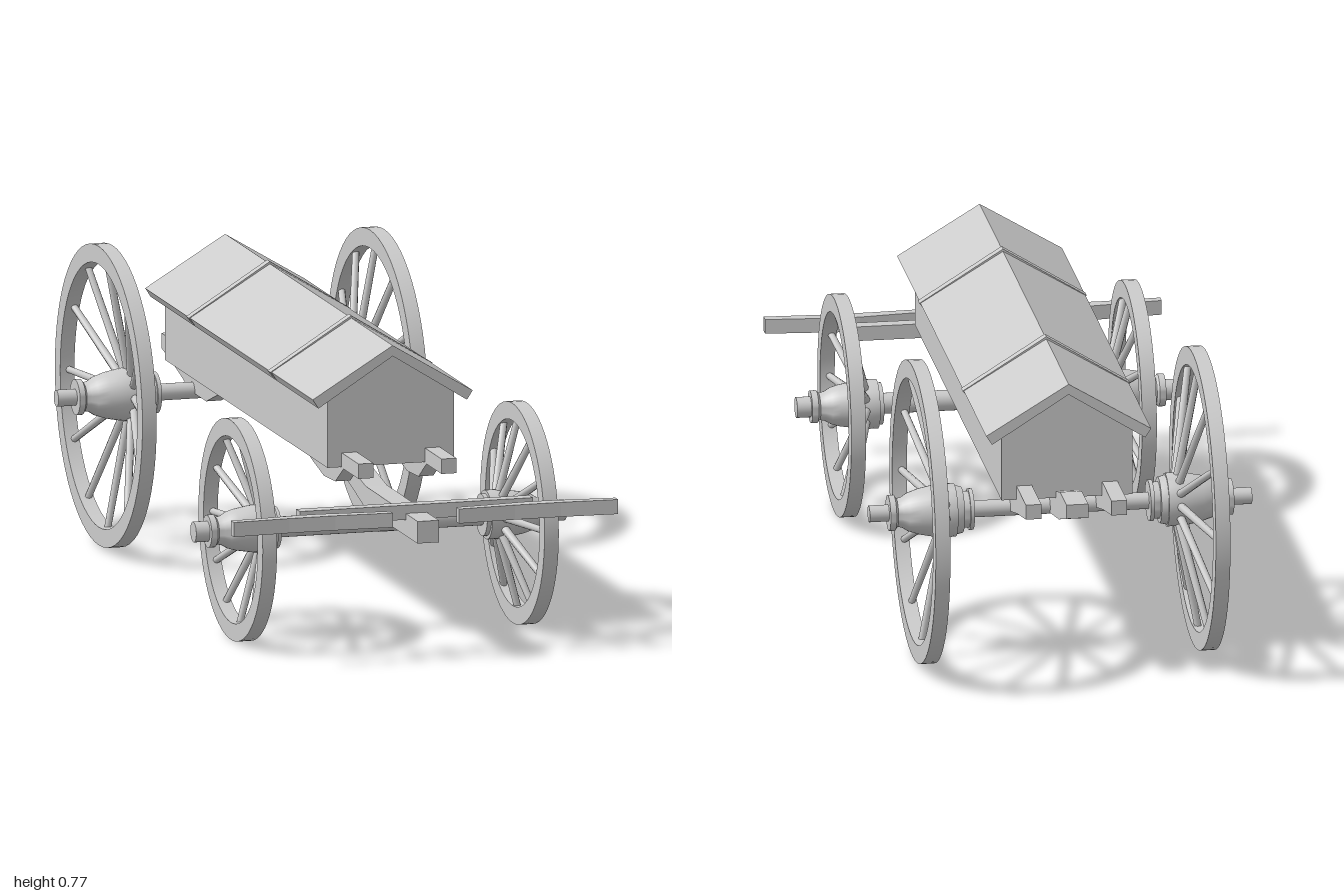
import * as THREE from 'three';
import { toCreasedNormals } from 'three/addons/utils/BufferGeometryUtils.js';

const material = new THREE.MeshStandardMaterial({ color: 0xcccccc });

function add(parent, name, geometry) {
  const mesh = new THREE.Mesh(geometry, material);
  mesh.name = name;
  parent.add(mesh);
  return mesh;
}

function box(parent, name, [w, h, d], [x, y, z]) {
  return add(parent, name, new THREE.BoxGeometry(w, h, d).translate(x, y, z));
}

// Outline in two axes, given a thickness centred on the third
function slab(points, depth) {
  const shape = new THREE.Shape(points.map(([a, b]) => new THREE.Vector2(a, b)));
  return new THREE.ExtrudeGeometry(shape, { depth, bevelEnabled: false }).translate(0, 0, -depth / 2);
}

// Side outline in (z, y), thick along x
const sideSlab = (points, width) => slab(points, width).rotateY(-Math.PI / 2);

// Profile of [x, radius] spun around the x axis
function turned(profile, segments = 32) {
  const points = profile.map(([x, r]) => new THREE.Vector2(r, x));
  return toCreasedNormals(new THREE.LatheGeometry(points, segments).rotateZ(-Math.PI / 2), 0.6);
}

// Wheel on the +x side, axle at the group's origin
function makeWheel(name, { radius, rimWidth, rimX, hub, spokeX }) {
  const wheel = new THREE.Group();
  wheel.name = name;
  const inner = radius - rimWidth, half = 0.0185;
  add(wheel, 'rim', turned([
    [rimX - half, radius], [rimX + half, radius],
    [rimX + half, inner], [rimX - half, inner], [rimX - half, radius],
  ], 64));
  add(wheel, 'hub', turned(hub));

  // Dished spokes lean outward from hub to rim
  const start = new THREE.Vector3(spokeX, 0.045, 0);
  const end = new THREE.Vector3(rimX - 0.004, inner + 0.008, 0);
  const along = end.clone().sub(start);
  const tilt = new THREE.Quaternion().setFromUnitVectors(new THREE.Vector3(0, 1, 0), along.clone().normalize());
  const middle = start.clone().add(end).multiplyScalar(0.5);
  for (let i = 0; i < 12; i++) {
    const spoke = new THREE.CylinderGeometry(0.009, 0.011, along.length(), 8)
      .applyQuaternion(tilt).translate(middle.x, middle.y, 0).rotateX(i * Math.PI / 6);
    add(wheel, 'spoke', spoke);
  }
  return wheel;
}

export function createModel() {
  const model = new THREE.Group();
  model.name = 'wagon';

  // Covered box with gabled ends
  add(model, 'box', slab([
    [-0.165, 0.447], [0.165, 0.447], [0.165, 0.622], [0, 0.726], [-0.165, 0.622],
  ], 1.41).translate(0, 0, -0.03));

  // Pitched roof and the straps across it
  const roof = (lift, out) => [
    [-0.208 - out, 0.626], [-0.193, 0.603], [0, 0.725], [0.193, 0.603],
    [0.208 + out, 0.626], [0, 0.752 + lift],
  ];
  add(model, 'roof', slab(roof(0, 0), 1.455).translate(0, 0, -0.035));
  for (const z of [0.322, -0.385]) {
    add(model, 'roofStrap', slab(roof(0.006, 0.003), 0.024).translate(0, 0, z));
  }

  // Bed rails with bellies over both axles
  const rail = [
    [0.82, 0.483], [-0.89, 0.483], [-0.89, 0.445], [-0.75, 0.415], [-0.64, 0.385],
    [-0.5, 0.385], [-0.36, 0.435], [-0.2, 0.447], [0.3, 0.447], [0.42, 0.415],
    [0.52, 0.395], [0.62, 0.4], [0.69, 0.445], [0.82, 0.445],
  ];
  for (const x of [-0.108, 0.108]) add(model, 'bedRail', sideSlab(rail, 0.039).translate(x, 0, 0));

  // Central pole, rising from the hitch to the tail
  add(model, 'centrePole', sideSlab([
    [1, 0.31], [1, 0.366], [0.55, 0.368], [0.42, 0.39], [0.3, 0.405], [-0.25, 0.44],
    [-0.68, 0.447], [-0.8, 0.483], [-0.905, 0.483], [-0.905, 0.447], [-0.78, 0.405],
    [-0.62, 0.372], [-0.5, 0.372], [-0.42, 0.405], [-0.25, 0.408], [0.3, 0.37],
    [0.42, 0.345], [0.55, 0.31],
  ], 0.055));

  // Hitch bars
  box(model, 'doubletree', [0.606, 0.037, 0.033], [0, 0.369, 0.881]);
  for (const side of [-1, 1]) {
    const bar = slab([
      [-0.207, 0.957], [-0.12, 0.95], [-0.03, 0.941], [0.03, 0.941], [0.12, 0.95], [0.207, 0.957],
      [0.207, 0.981], [0.06, 0.974], [-0.06, 0.974], [-0.207, 0.981],
    ], 0.037).rotateX(Math.PI / 2);
    add(model, 'singletree', bar.translate(side * 0.293, 0.369, 0));
  }

  // Axles and wheels
  const rear = {
    radius: 0.38, rimWidth: 0.046, rimX: 0.353, spokeX: 0.293,
    hub: [
      [0.222, 0], [0.222, 0.052], [0.232, 0.052], [0.232, 0.046], [0.248, 0.046], [0.248, 0.058],
      [0.266, 0.062], [0.266, 0.067], [0.305, 0.067], [0.33, 0.063], [0.355, 0.058], [0.385, 0.048],
      [0.4, 0.038], [0.412, 0.036], [0.418, 0.045], [0.433, 0.045], [0.433, 0],
    ],
  };
  const front = {
    radius: 0.279, rimWidth: 0.044, rimX: 0.3665, spokeX: 0.31,
    hub: [
      [0.267, 0], [0.267, 0.053], [0.278, 0.053], [0.278, 0.062], [0.308, 0.062], [0.34, 0.058],
      [0.375, 0.052], [0.395, 0.046], [0.41, 0.037], [0.424, 0.034], [0.43, 0.041],
      [0.446, 0.041], [0.446, 0],
    ],
  };
  const sets = [
    ['front', front, 0.282, 0.57, 0.026],
    ['rear', rear, 0.39, -0.62, 0.021],
  ];
  for (const [name, spec, y, z, r] of sets) {
    const axle = new THREE.CylinderGeometry(r, r, 0.964, 24).rotateZ(Math.PI / 2);
    add(model, name + 'Axle', axle.translate(0, y, z));
    for (const side of ['Left', 'Right']) {
      const wheel = makeWheel(name + side + 'Wheel', spec);
      wheel.position.set(0, y, z);
      if (side === 'Right') wheel.rotation.y = Math.PI;
      model.add(wheel);
    }
  }
  return model;
}
